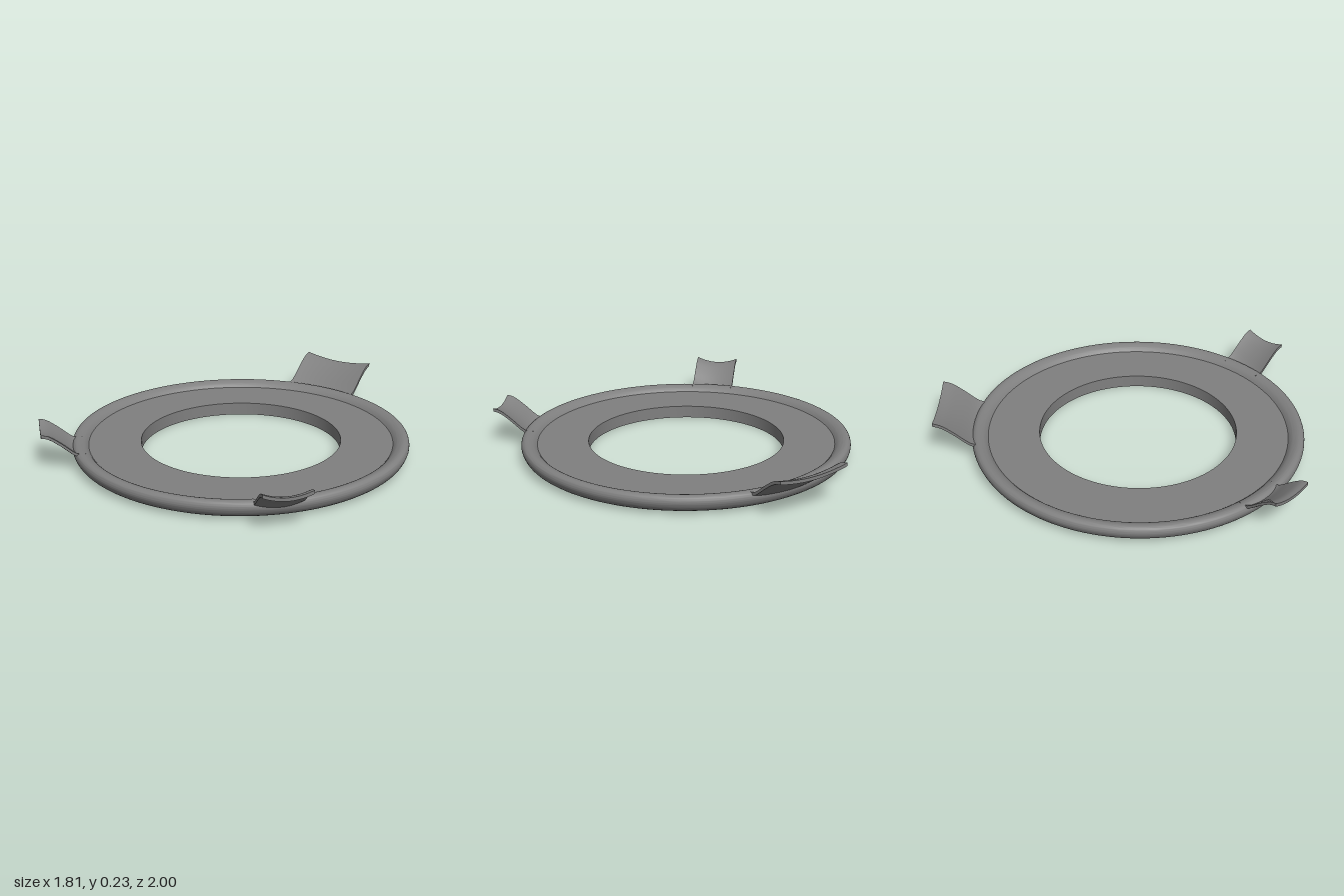
import * as THREE from 'three';
import { toCreasedNormals } from 'three/addons/utils/BufferGeometryUtils.js';

const grey = new THREE.MeshStandardMaterial({ color: 0x808080 });
grey.name = 'grey';

// Flat ring with a rounded, raised rim, turned from its section (radius, height)
function makeRing() {
  const rim = new THREE.SplineCurve([
    [0.81, 0], [0.855, 0.008], [0.888, 0.028], [0.903, 0.052], [0.907, 0.072],
    [0.9, 0.092], [0.882, 0.101], [0.862, 0.099], [0.838, 0.088], [0.82, 0.07],
  ].map(([r, y]) => new THREE.Vector2(r, y))).getPoints(36);
  const hole = [[0.54, 0.07], [0.54, 0]].map(([r, y]) => new THREE.Vector2(r, y));
  const section = [new THREE.Vector2(0.54, 0), ...rim, ...hole];
  const mesh = new THREE.Mesh(toCreasedNormals(new THREE.LatheGeometry(section, 128), 0.5), grey);
  mesh.name = 'ring';
  return mesh;
}

// Curved tab flaring up and outward; path gives (radius, top height at the side edges)
function makeTab(name, width, sag, path, angle) {
  const curve = new THREE.SplineCurve(path.map(([r, y]) => new THREE.Vector2(r, y)));
  const thickness = 0.018;
  const geo = new THREE.BoxGeometry(width, thickness, 1, 16, 1, 16);
  const p = geo.attributes.position;
  for (let i = 0; i < p.count; i++) {
    const along = curve.getPoint(p.getZ(i) + 0.5);
    const side = (2 * p.getX(i)) / width;
    const y = along.y - thickness / 2 + p.getY(i) - sag * (1 - side * side);
    p.setXYZ(i, p.getX(i), y, along.x);
  }
  geo.computeVertexNormals();
  const mesh = new THREE.Mesh(geo, grey);
  mesh.name = name;
  mesh.rotation.y = angle;
  return mesh;
}

export function createModel() {
  const model = new THREE.Group();
  model.name = 'ringWithTabs';
  const body = new THREE.Group();
  body.name = 'body';
  body.position.z = 0.09;
  model.add(body);
  body.add(makeRing());

  // Wide tab at the back, two narrow ones at the front corners
  body.add(makeTab('backTab', 0.42, 0.024,
    [[0.845, 0.1], [0.895, 0.107], [0.98, 0.173], [1.04, 0.214], [1.09, 0.23]], Math.PI));
  for (const [name, side] of [['leftFrontTab', 1], ['rightFrontTab', -1]]) {
    body.add(makeTab(name, 0.245, 0.026,
      [[0.845, 0.1], [0.895, 0.105], [0.97, 0.165], [1.03, 0.207], [1.07, 0.218]], side * Math.PI / 4));
  }
  return model;
}
